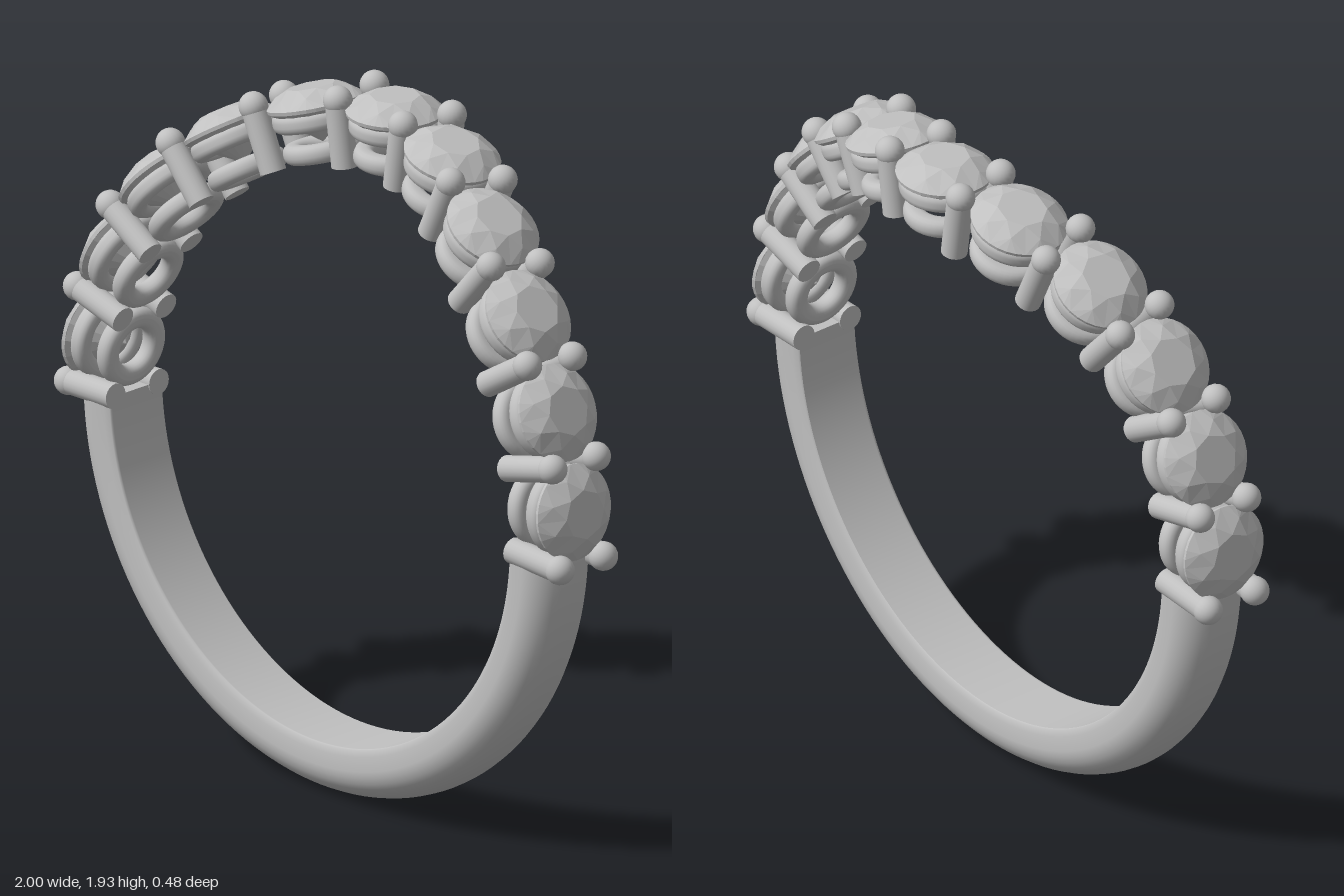
import * as THREE from 'three';

const CENTER_Y = 0.94;
const STEP = THREE.MathUtils.degToRad(16.7);
const STONES = 11;

// Sideways sweep of the stone row: the top bows toward the back
const SPREAD = THREE.MathUtils.degToRad(36.5);
const rowZ = (t) => 0.105 - 0.215 * Math.exp(-((t / SPREAD) ** 2));
const rowSlope = (t) => (rowZ(t + 0.01) - rowZ(t - 0.01)) / 0.02 / 0.93;

// Round faceted stone: table, star, kite and girdle facets, pointed below
function gemGeometry() {
  const p = [];
  const at = (r, y, k) => {
    const a = (k / 32) * Math.PI * 2;
    return [r * Math.sin(a), y, r * Math.cos(a)];
  };
  const tri = (a, b, c) => p.push(...a, ...b, ...c);
  const table = (i) => at(0.068, 0.98, i * 4);
  const mid = (i) => at(0.105, 0.962, i * 4 + 2);
  const rim = (k) => at(0.133, 0.936, k);
  const low = (k) => at(0.131, 0.926, k);
  for (let i = 0; i < 8; i++) {
    tri([0, 0.98, 0], table(i), table(i + 1));
    tri(table(i), mid(i), table(i + 1));
    tri(table(i), mid(i - 1), rim(i * 4));
    tri(table(i), rim(i * 4), mid(i));
    for (let k = i * 4; k < i * 4 + 4; k++) {
      tri(mid(i), rim(k), rim(k + 1));
      tri(rim(k), low(k), low(k + 1));
      tri(rim(k), low(k + 1), rim(k + 1));
    }
  }
  for (let k = 0; k < 32; k += 2) {
    tri(low(k), [0, 0.825, 0], low(k + 2));
    tri(low(k), low(k + 2), low(k + 1));
  }
  const g = new THREE.BufferGeometry();
  g.setAttribute('position', new THREE.Float32BufferAttribute(p, 3));
  g.computeVertexNormals();
  return g;
}

// Round rail with softened edges, lying across the radial axis
function railGeometry(inner, outer, y0, y1) {
  const shape = [];
  const c = Math.min(outer - inner, y1 - y0) * 0.42;
  const corners = [[outer - c, y0 + c, -90], [outer - c, y1 - c, 0], [inner + c, y1 - c, 90], [inner + c, y0 + c, 180]];
  for (const [x, y, start] of corners) {
    for (let k = 0; k <= 4; k++) {
      const a = THREE.MathUtils.degToRad(start + k * 22.5);
      shape.push(new THREE.Vector2(x + c * Math.cos(a), y + c * Math.sin(a)));
    }
  }
  shape.push(shape[0].clone());
  return new THREE.LatheGeometry(shape, 40);
}

// Half band with a rounded outside and a flat inside
function addShank(group, material) {
  const profile = [];
  const v = (r, z) => profile.push(new THREE.Vector2(r, z));
  v(0.78, -0.092);
  v(0.783, -0.096);
  v(0.8, -0.102);
  for (let k = 0; k <= 16; k++) {
    const a = -Math.PI / 2 + (k / 16) * Math.PI;
    v(0.84 + 0.095 * Math.cos(a), 0.105 * Math.sin(a));
  }
  v(0.8, 0.102);
  v(0.783, 0.096);
  v(0.78, 0.092);
  v(0.78, 0.088);
  v(0.78, -0.088);
  v(0.78, -0.092);

  const half = Math.PI - STEP * STONES / 2;
  const shank = new THREE.Group();
  shank.name = 'shank';
  const band = new THREE.Mesh(new THREE.LatheGeometry(profile, 72, -half, half * 2), material);
  band.name = 'band';
  shank.add(band);
  for (const phi of [-half, half]) {
    const end = new THREE.Mesh(new THREE.ShapeGeometry(new THREE.Shape(profile.slice(0, -1))), material);
    end.name = 'bandEnd';
    end.rotation.y = phi - Math.PI / 2;
    shank.add(end);
  }
  shank.rotation.x = Math.PI / 2;
  shank.position.set(0, CENTER_Y, 0.105);
  group.add(shank);
}

export function createModel() {
  const ring = new THREE.Group();
  ring.name = 'ring';
  const silver = new THREE.MeshStandardMaterial({ color: 0xc0c0c0, side: THREE.DoubleSide });
  silver.name = 'silver grey';

  addShank(ring, silver);

  // Stones, each on an upper and a lower rail
  const parts = {
    stone: gemGeometry(),
    upperRail: railGeometry(0.075, 0.124, 0.868, 0.922),
    lowerRail: railGeometry(0.055, 0.112, 0.78, 0.834),
  };
  for (let i = 0; i < STONES; i++) {
    const t = (i - (STONES - 1) / 2) * STEP;
    const setting = new THREE.Group();
    setting.name = 'stoneSetting';
    for (const [name, geometry] of Object.entries(parts)) {
      const mesh = new THREE.Mesh(geometry, silver);
      mesh.name = name;
      setting.add(mesh);
    }
    setting.position.set(0, CENTER_Y, rowZ(t));
    setting.rotation.set(0, -Math.atan(rowSlope(t)), -t, 'ZYX');
    ring.add(setting);
  }

  // Pairs of ball-tipped prongs between the stones
  const bar = new THREE.CylinderGeometry(0.036, 0.036, 0.183, 20);
  const ball = new THREE.SphereGeometry(0.04, 20, 14);
  for (let i = 0; i <= STONES; i++) {
    const t = (i - STONES / 2) * STEP;
    const pair = new THREE.Group();
    pair.name = 'prongPair';
    for (const side of [-1, 1]) {
      const prong = new THREE.Mesh(bar, silver);
      prong.name = 'prong';
      prong.position.set(0, 0.868, side * 0.079);
      const tip = new THREE.Mesh(ball, silver);
      tip.name = 'prongTip';
      tip.position.set(0, 0.96, side * 0.079);
      pair.add(prong, tip);
    }
    pair.position.set(0, CENTER_Y, rowZ(t));
    pair.rotation.set(0, -Math.atan(rowSlope(t)), -t, 'ZYX');
    ring.add(pair);
  }
  return ring;
}
